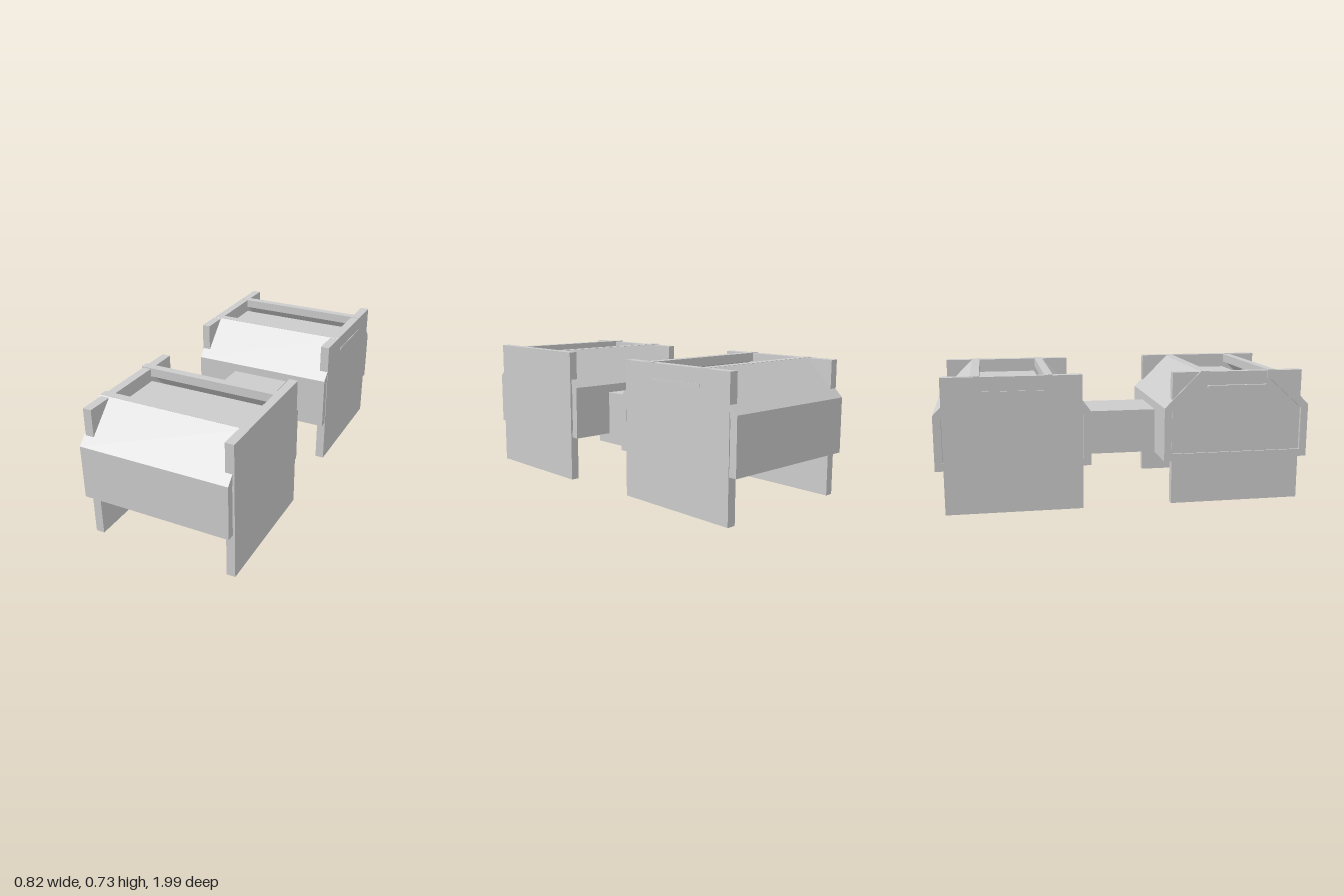
import * as THREE from 'three';

const material = new THREE.MeshStandardMaterial({ color: 0xcccccc, flatShading: true, side: THREE.DoubleSide });

// Box given by its limits on each axis
function slab(name, [x0, x1], [y0, y1], [z0, z1]) {
  const mesh = new THREE.Mesh(new THREE.BoxGeometry(x1 - x0, y1 - y0, z1 - z0), material);
  mesh.name = name;
  mesh.position.set((x0 + x1) / 2, (y0 + y1) / 2, (z0 + z1) / 2);
  return mesh;
}

// Hollow casing: sloped walls that are open at the top, extruded across the width
function casing() {
  const outer = [[0.4, 0.245], [0.4, 0.533], [0.207, 0.726], [0.165, 0.726]];
  const inner = [[0.165, 0.69], [0.36, 0.515], [0.36, 0.285]];
  const side = [...outer, ...inner];
  const mirrored = side.map(([z, y]) => [-z, y]).reverse();
  const points = [...side, ...mirrored].map(([z, y]) => new THREE.Vector2(z, y));
  const geometry = new THREE.ExtrudeGeometry(new THREE.Shape(points), { depth: 0.802, bevelEnabled: false });
  geometry.translate(0, 0, -0.401).rotateY(-Math.PI / 2);
  const mesh = new THREE.Mesh(geometry, material);
  mesh.name = 'casing';
  return mesh;
}

// One seat block: casing, two end panels that serve as legs, and a sunken top board
function block(name, z, left, right, boardX) {
  const group = new THREE.Group();
  group.name = name;
  group.position.z = z;
  group.add(
    casing(),
    slab('rightEndPanel', right.x, right.y, [-0.357, 0.357]),
    slab('leftEndPanel', left.x, left.y, [-0.357, 0.357]),
    slab('sunkenBoard', boardX, [0.635, 0.65], [-0.168, 0.16])
  );
  // Rails along both edges of the opening
  for (const s of [-1, 1]) {
    const edges = [s * 0.163, s * 0.207].sort((a, b) => a - b);
    group.add(slab('topRail', [-0.4, 0.4], [0.68, 0.727], edges));
  }
  return group;
}

export function createModel() {
  const model = new THREE.Group();
  model.name = 'twinBench';
  model.add(
    block('frontBlock', 0.596,
      { x: [0.365, 0.411], y: [0, 0.729] },
      { x: [-0.392, -0.346], y: [0.01, 0.722] },
      [-0.411, 0.38]),
    block('rearBlock', -0.596,
      { x: [0.355, 0.403], y: [0.008, 0.724] },
      { x: [-0.405, -0.36], y: [0.013, 0.724] },
      [-0.411, 0.407]),
    // Beam joining the two blocks
    slab('bridge', [-0.165, 0.168], [0.247, 0.487], [-0.22, 0.22])
  );
  return model;
}
